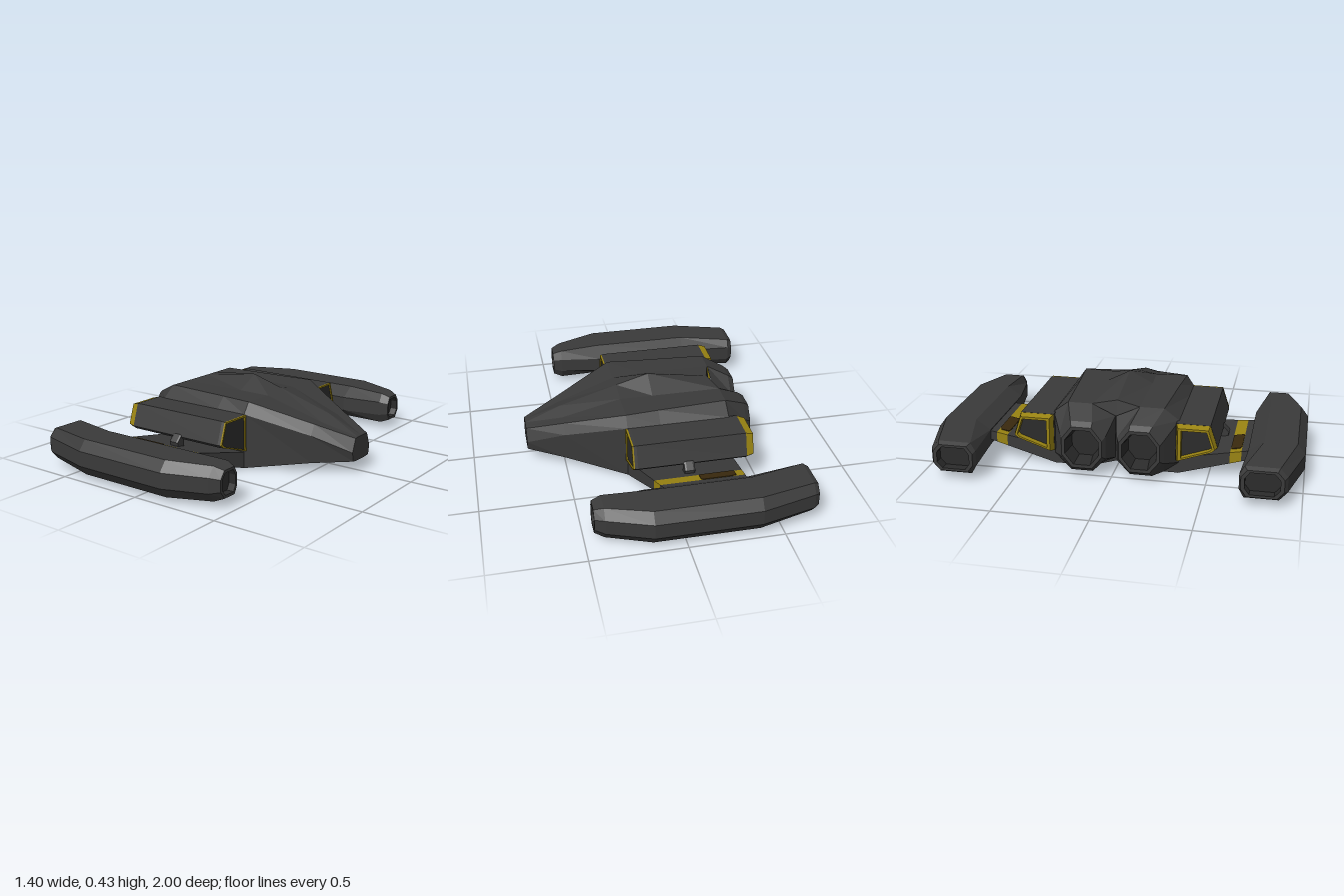
import * as THREE from 'three';

const mat = (name, color) => {
  const m = new THREE.MeshStandardMaterial({ color, flatShading: true });
  m.name = name;
  return m;
};

// Skin a row of (z, y) sections along x. Loops run top -> +z -> bottom -> -z.
// A point may carry its own x as third value; side = -1 mirrors the part.
function loft(name, material, stations, { side = 1, start = true, end = true } = {}) {
  const rows = stations.map(([x, pts]) => {
    const r = pts.map(p => [p[2] ?? x, p[1], p[0] * side]);
    return side < 0 ? r.reverse() : r;
  });
  const v = [], n = rows[0].length;
  const tri = (a, b, c) => v.push(...a, ...b, ...c);
  for (let i = 0; i < rows.length - 1; i++) {
    for (let j = 0; j < n; j++) {
      const k = (j + 1) % n, A = rows[i], B = rows[i + 1];
      tri(A[j], A[k], B[k]);
      tri(A[j], B[k], B[j]);
    }
  }
  const cap = (r, flip) => {
    const c = [0, 1, 2].map(a => r.reduce((s, p) => s + p[a], 0) / n);
    for (let j = 0; j < n; j++) {
      const k = (j + 1) % n;
      flip ? tri(c, r[k], r[j]) : tri(c, r[j], r[k]);
    }
  };
  if (start) cap(rows[0], true);
  if (end) cap(rows[rows.length - 1], false);
  const g = new THREE.BufferGeometry();
  g.setAttribute('position', new THREE.Float32BufferAttribute(v, 3));
  g.computeVertexNormals();
  const mesh = new THREE.Mesh(g, material);
  mesh.name = name;
  return mesh;
}

// Shrink a section about its middle
function shrink(pts, s) {
  const mid = a => pts.reduce((t, p) => t + p[a], 0) / pts.length;
  const cz = mid(0), cy = mid(1);
  return pts.map(([z, y]) => [cz + (z - cz) * s, cy + (y - cy) * s]);
}

// Eight-sided section from its box and chamfers (ci = inner, co = outer)
const octagon = (z0, z1, y0, y1, ci, co, cy) => [
  [z0 + ci, y1], [z1 - co, y1], [z1, y1 - cy], [z1, y0 + cy],
  [z1 - co, y0], [z0 + ci, y0], [z0, y0 + cy], [z0, y1 - cy],
];

// Full section from its +z half, running from top centre to bottom centre
const mirrored = half => [...half, ...half.slice(1, -1).reverse().map(([z, y]) => [-z, y])];

export function createModel() {
  const model = new THREE.Group();
  const hullGrey = mat('hull grey', 0x3a3a3a);
  const darkGrey = mat('recess grey', 0x2b2b2b);
  const yellow = mat('trim yellow', 0x9a8412);
  const brown = mat('vent brown', 0x3a2a0e);

  // Central hull with a raised spine, tapering to a blunt nose
  model.add(loft('hull', hullGrey, [
    [-0.38, mirrored([[0, 0.375, -0.34], [0.13, 0.36], [0.26, 0.36], [0.34, 0.30], [0.34, 0], [0.14, 0], [0, 0.025, -0.34]])],
    [0, mirrored([[0, 0.428], [0.13, 0.36], [0.285, 0.36], [0.34, 0.30], [0.34, 0], [0.14, 0], [0, 0.025]])],
    [0.18, mirrored([[0, 0.376], [0.12, 0.355], [0.30, 0.36], [0.34, 0.30], [0.34, 0], [0.14, 0], [0, 0.025]])],
    [0.5, mirrored([[0, 0.28], [0.085, 0.255], [0.15, 0.257], [0.182, 0.20], [0.175, 0.048], [0.09, 0.04], [0, 0.045]])],
    [0.7, mirrored([[0, 0.195], [0.035, 0.195], [0.06, 0.193], [0.088, 0.12], [0.078, 0.07], [0.04, 0.066], [0, 0.066]])],
  ]));

  for (const side of [1, -1]) {
    const label = side > 0 ? 'left' : 'right';
    const part = new THREE.Group();
    part.name = label + 'Side';
    model.add(part);
    const add = (name, m, st, opt = {}) => part.add(loft(name, m, st, { side, ...opt }));

    // Rear engine with hollow nozzle
    const nozzle = octagon(0.045, 0.262, 0.05, 0.28, 0.055, 0.055, 0.07);
    const bore = shrink(nozzle, 0.84);
    add('engine', hullGrey, [
      [-0.53, bore],
      [-0.53, nozzle],
      [-0.50, octagon(0.03, 0.278, 0.025, 0.302, 0.07, 0.06, 0.075)],
      [-0.38, octagon(0.002, 0.34, 0, 0.36, 0.128, 0.08, 0.06)],
    ], { start: false, end: false });
    add('engineBore', darkGrey, [[-0.43, shrink(nozzle, 0.7)], [-0.53, bore]], { end: false });

    // Side box with yellow-rimmed ends
    const box = [[0.33, 0.30], [0.51, 0.30], [0.55, 0.18], [0.53, 0.162], [0.33, 0.092]];
    const rim = shrink(box, 0.97), rimIn = shrink(box, 0.87);
    const tail = shrink(box, 0.88), tailIn = shrink(box, 0.74);
    add('sideBox', hullGrey, [[-0.425, box], [0.165, box], [0.18, rim]]);
    add('sideBoxFrontRim', yellow, [[0.18, rim], [0.19, rim], [0.19, rimIn], [0.181, rimIn]], { start: false, end: false });
    add('sideBoxFrontPanel', darkGrey, [[0.179, rimIn], [0.182, rimIn]]);
    add('sideBoxRearRim', yellow, [[-0.43, tailIn], [-0.465, tailIn], [-0.465, tail], [-0.425, shrink(box, 0.99)]], { start: false, end: false });
    add('sideBoxRearPanel', darkGrey, [[-0.43, tailIn], [-0.425, tailIn]]);

    // Clip between side box and strut
    const clip = [[0.525, 0.20], [0.55, 0.19], [0.583, 0.155], [0.57, 0.10], [0.525, 0.10]];
    add('clip', hullGrey, [[-0.135, shrink(clip, 0.9)], [-0.125, clip], [-0.09, clip], [-0.08, shrink(clip, 0.9)]]);

    // Sloping strut in three pieces, the middle one painted
    const top = z => 0.09 + (z - 0.34) * 0.186;
    const low = z => (z - 0.34) * 0.29;
    const front = z => 0.18 - (z - 0.34) * 0.32;
    const strut = (name, m, z0, z1) => {
      const loop = [[z0, top(z0)], [z1, top(z1)], [z1, low(z1)], [z0, low(z0)]];
      add(name, m, [[-0.38, loop], [0, loop.map(([z, y]) => [z, y, front(z)])]]);
    };
    strut('strutInner', hullGrey, 0.335, 0.61);
    strut('strutBand', yellow, 0.61, 0.67);
    strut('strutOuter', hullGrey, 0.67, 0.75);

    // Dark vent plate on the painted band
    const vent = (z0, z1) => [[z0, top(z0) + 0.004], [z1, top(z1) + 0.004], [z1, top(z1) - 0.002], [z0, top(z0) - 0.002]];
    add('strutVent', brown, [[-0.335, vent(0.615, 0.66)], [-0.31, vent(0.611, 0.669)], [-0.15, vent(0.611, 0.669)], [-0.145, vent(0.615, 0.66)]]);

    // Outer pod, bowed in plan, open at both ends
    const rear = octagon(0.695, 0.91, 0.05, 0.195, 0.03, 0.035, 0.04);
    const nose = octagon(0.757, 0.885, 0.05, 0.192, 0.02, 0.03, 0.04);
    const rearIn = shrink(rear, 0.82), noseIn = shrink(nose, 0.8);
    add('pod', hullGrey, [
      [-0.70, rearIn],
      [-0.70, rear],
      [-0.675, octagon(0.685, 0.925, 0.035, 0.207, 0.025, 0.04, 0.045)],
      [-0.38, octagon(0.705, 1, 0.025, 0.217, 0.08, 0.042, 0.055)],
      [0.17, octagon(0.705, 1, 0.025, 0.217, 0.08, 0.042, 0.055)],
      [0.40, octagon(0.742, 0.915, 0.03, 0.21, 0.025, 0.04, 0.05)],
      [0.45, nose],
      [0.45, noseIn],
    ], { start: false, end: false });
    add('podRearBore', darkGrey, [[-0.65, rearIn], [-0.70, rearIn]], { end: false });
    add('podFrontBore', darkGrey, [[0.45, noseIn], [0.41, noseIn]], { start: false });
  }
  return model;
}
